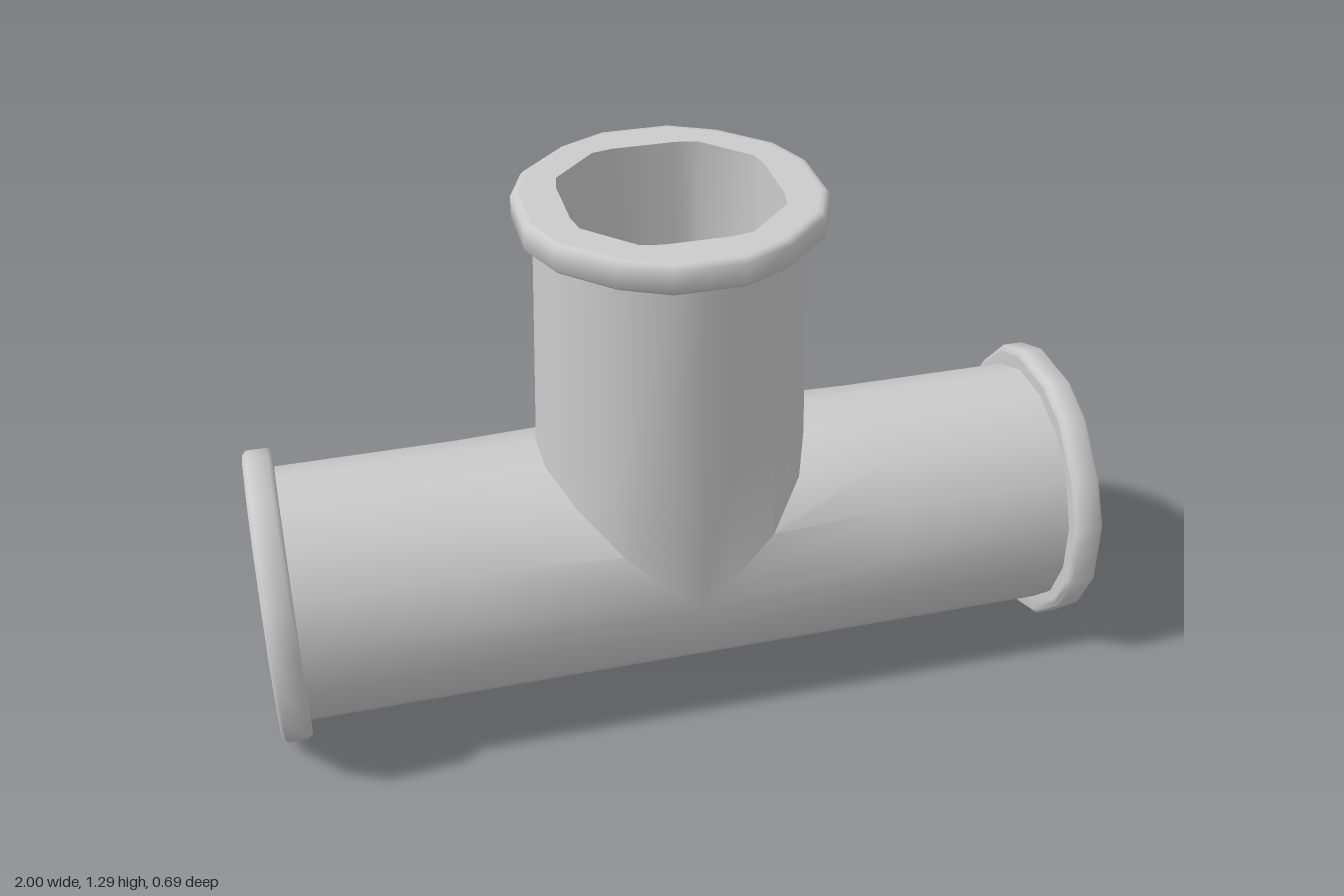
import * as THREE from 'three';
import { mergeGeometries, toCreasedNormals } from 'three/addons/utils/BufferGeometryUtils.js';

const AXIS_Y = 0.343;      // height of the main pipe's axis
const FLANGE = 0.07;       // flange thickness

// Full 18-point ring [u, z] from one quarter, running from the z axis to the u axis
function ring(quarter) {
  const back = [...quarter].reverse();
  const rest = quarter.slice(1);
  return [
    ...back,
    ...rest.map(([u, z]) => [-u, z]),
    ...back.map(([u, z]) => [-u, -z]),
    ...rest.map(([u, z]) => [u, -z]),
  ];
}
const pipe = ring([[0, 0.3], [0.06, 0.3], [0.17, 0.254], [0.254, 0.17], [0.3, 0.06]]);
const bore = ring([[0, 0.24], [0.075, 0.24], [0.125, 0.23], [0.23, 0.125], [0.24, 0.075]]);
const rim = ring([[0, 0.343], [0.08, 0.343], [0.19, 0.29], [0.3, 0.185], [0.343, 0.08]]);

// The three outlets: each maps (distance along axis, u, z) into space
const outlets = [
  { name: 'left', length: 1, flip: false, place: (a, u, z) => [a, AXIS_Y + u, z] },
  { name: 'right', length: 1, flip: true, place: (a, u, z) => [-a, AXIS_Y + u, z] },
  { name: 'top', length: 0.947, flip: true, place: (a, u, z) => [u, AXIS_Y + a, z] },
];

// Skin between successive loops of [a, u, z] points
function loft(loops, outlet) {
  const n = loops[0].length;
  const positions = loops.flat().flatMap((p) => outlet.place(...p));
  const index = [];
  const tri = (a, b, c) => (outlet.flip ? index.push(a, c, b) : index.push(a, b, c));
  for (let i = 0; i < loops.length - 1; i++) {
    for (let j = 0; j < n; j++) {
      const k = (j + 1) % n;
      const a = i * n + j, b = i * n + k, c = a + n, d = b + n;
      tri(a, b, c);
      tri(b, d, c);
    }
  }
  const geometry = new THREE.BufferGeometry();
  geometry.setAttribute('position', new THREE.Float32BufferAttribute(positions, 3));
  geometry.setIndex(index);
  return geometry;
}

const loopAt = (section, a, scale = 1) => section.map(([u, z]) => [a, u * scale, z * scale]);

// Mitred end where the outlets meet; flare widens the branch root
function seam(section, isTop, flare, bulge) {
  return section.map(([u, z]) => {
    const swell = bulge && (isTop || u > 0) ? 1 + 0.6 * Math.abs(u) * Math.max(0, Math.abs(z) - 0.1) / 0.17 : 1;
    const zz = Math.sign(z) * Math.min(Math.abs(z) * swell, 0.305);
    return isTop ? [Math.abs(u), u * flare, zz] : [Math.max(0, u * flare), u, zz];
  });
}

// Outer wall and bore of one outlet
function tubeParts(outlet) {
  const isTop = outlet.name === 'top';
  const L = outlet.length;
  const flare = 1.055;
  const middle = isTop
    ? pipe.map(([u, z]) => [0.38, u * 1.045, z])
    : loopAt(pipe, 0.5);
  return [
    loft([seam(pipe, isTop, flare, true), middle, loopAt(pipe, L - FLANGE)], outlet),
    loft([loopAt(bore, L), seam(bore, isTop, 1, false)], outlet),
  ];
}

// Thick end ring with softened edges
function flangeGeometry(outlet) {
  const L = outlet.length;
  const back = L - FLANGE;
  return loft([
    loopAt(pipe, back, 0.99),
    loopAt(rim, back, 0.95),
    loopAt(rim, back, 0.97),
    loopAt(rim, back + 0.01),
    loopAt(rim, L - 0.01),
    loopAt(rim, L, 0.97),
    loopAt(rim, L, 0.94),
    loopAt(bore, L),
  ], outlet);
}

export function createModel() {
  const model = new THREE.Group();
  model.name = 'pipeTee';
  const material = new THREE.MeshStandardMaterial({ color: 0xcccccc });
  const add = (name, geometry, crease) => {
    const mesh = new THREE.Mesh(toCreasedNormals(geometry, crease), material);
    mesh.name = name;
    model.add(mesh);
  };

  // Three tubes joined into one hollow body
  add('teeBody', mergeGeometries(outlets.flatMap(tubeParts)), 0.7);

  // One flange per opening
  for (const outlet of outlets) add(outlet.name + 'Flange', flangeGeometry(outlet), 0.9);

  return model;
}
